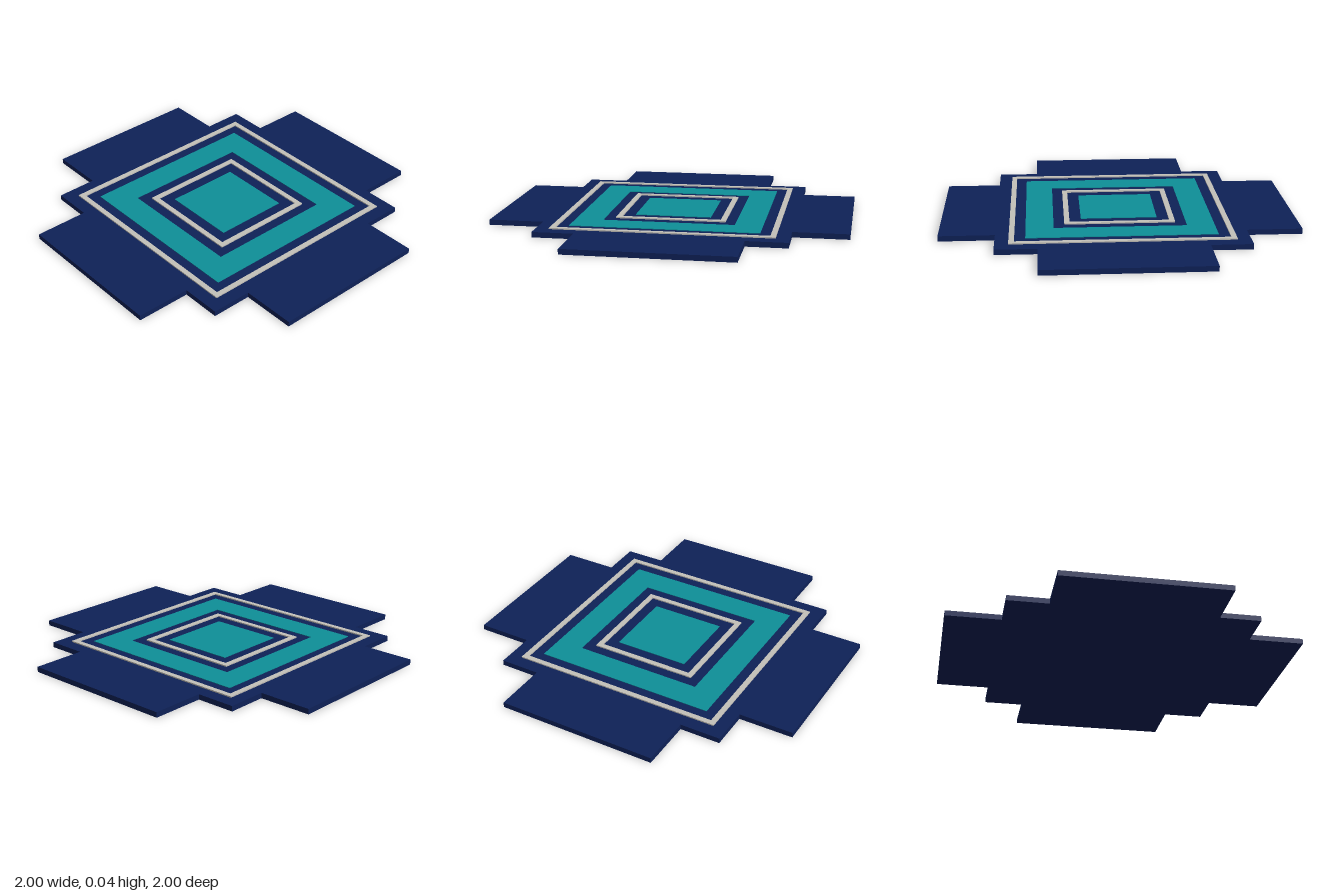
import * as THREE from 'three';

const navy = new THREE.MeshStandardMaterial({ color: 0x0e2158 });
const teal = new THREE.MeshStandardMaterial({ color: 0x0e9098 });
const trim = new THREE.MeshStandardMaterial({ color: 0xc4c1ba });

const SLAB = 0.03; // thickness of the base

function squarePath(path, h) {
  path.moveTo(-h, -h);
  path.lineTo(h, -h);
  path.lineTo(h, h);
  path.lineTo(-h, h);
  path.closePath();
  return path;
}

// Flat plate lying on the ground plane, extruded upward from y0 to y1
function plate(name, shape, y0, y1, material) {
  const geometry = new THREE.ExtrudeGeometry(shape, { depth: y1 - y0, bevelEnabled: false });
  geometry.rotateX(-Math.PI / 2);
  geometry.translate(0, y0, 0);
  const mesh = new THREE.Mesh(geometry, material);
  mesh.name = name;
  return mesh;
}

// Square panel, or a square frame when an inner half-size is given
function square(name, outer, inner, top, material) {
  const shape = squarePath(new THREE.Shape(), outer);
  if (inner) shape.holes.push(squarePath(new THREE.Path(), inner));
  return plate(name, shape, SLAB, top, material);
}

export function createModel() {
  const group = new THREE.Group();
  group.name = 'steppedFloorTile';

  // Stepped cross outline: one corner's points, turned around four times
  const corner = [[1, -0.46], [1, 0.46], [0.69, 0.46], [0.69, 0.69], [0.46, 0.69]];
  const points = [];
  for (let i = 0; i < 4; i++) {
    for (const [x, y] of corner) {
      points.push(new THREE.Vector2(x, y).rotateAround(new THREE.Vector2(), i * Math.PI / 2));
    }
  }
  // The last point of each corner is the first of the next arm's inner step
  group.add(plate('baseSlab', new THREE.Shape(points), 0, SLAB, navy));

  // Inlays and raised trim
  group.add(square('outerTrim', 0.615, 0.585, 0.037, trim));
  group.add(square('tealBand', 0.525, 0.37, 0.033, teal));
  group.add(square('innerTrim', 0.31, 0.28, 0.037, trim));
  group.add(square('centrePanel', 0.215, 0, 0.033, teal));
  return group;
}
